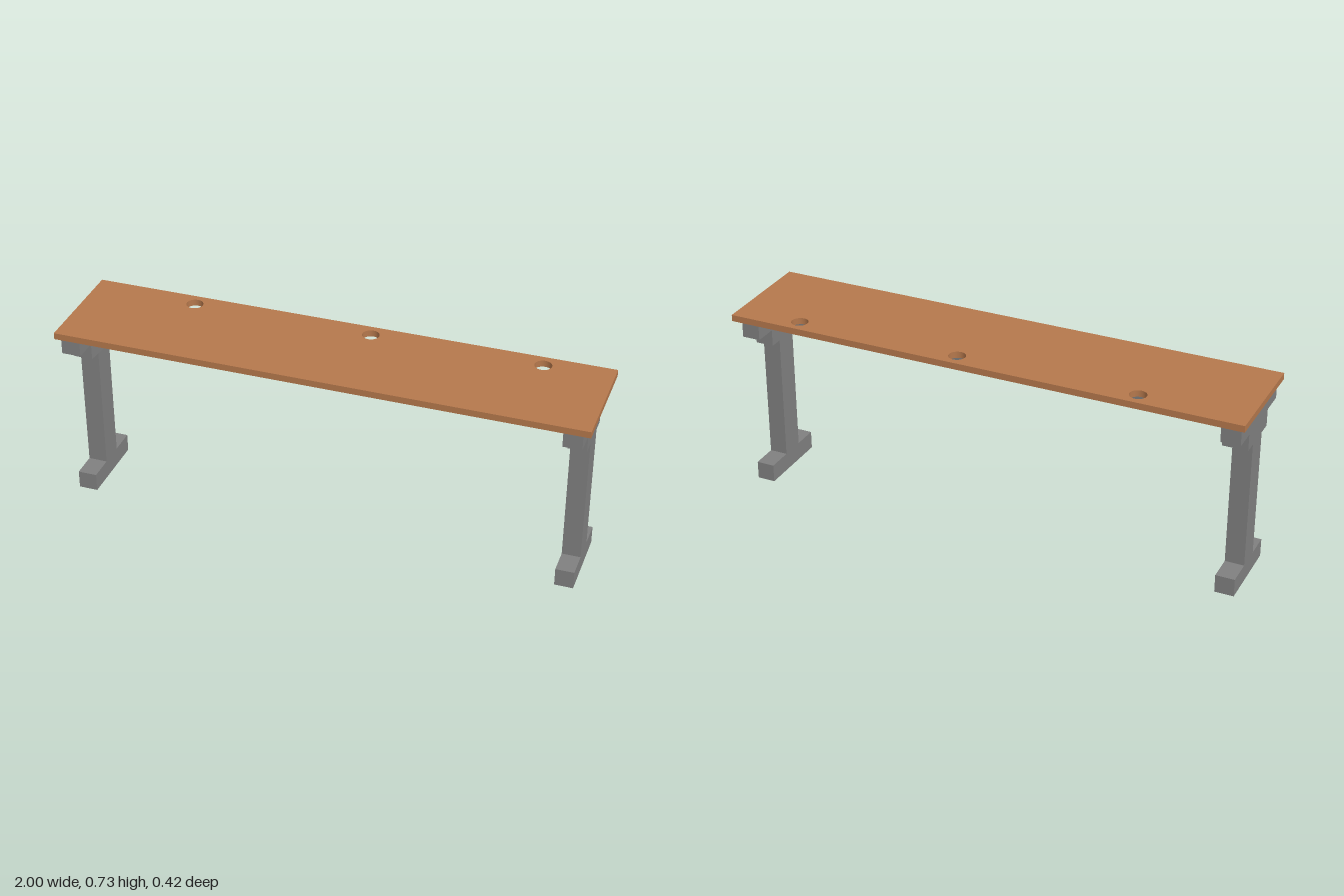
import * as THREE from 'three';

export function createModel() {
  const group = new THREE.Group();
  const wood = new THREE.MeshStandardMaterial({ color: 0xb5784c });
  wood.name = 'wood';
  const grey = new THREE.MeshStandardMaterial({ color: 0x808080 });
  grey.name = 'grey metal';

  // Box given by its min and max on each axis
  function box(parent, name, [x0, x1], [y0, y1], [z0, z1]) {
    const mesh = new THREE.Mesh(new THREE.BoxGeometry(x1 - x0, y1 - y0, z1 - z0), grey);
    mesh.position.set((x0 + x1) / 2, (y0 + y1) / 2, (z0 + z1) / 2);
    mesh.name = name;
    parent.add(mesh);
    return mesh;
  }

  // Table top with three cable holes along the back edge
  const outline = new THREE.Shape();
  outline.moveTo(-1, -0.211).lineTo(1, -0.211).lineTo(1, 0.211).lineTo(-1, 0.211).closePath();
  for (const x of [-0.595, 0.097, 0.742]) {
    outline.holes.push(new THREE.Path().absarc(x, 0.155, 0.032, 0, Math.PI * 2, true));
  }
  const top = new THREE.Mesh(
    new THREE.ExtrudeGeometry(outline, { depth: 0.025, bevelEnabled: false, curveSegments: 32 }), wood);
  top.rotation.x = -Math.PI / 2;
  top.position.y = 0.7;
  top.name = 'tableTop';
  group.add(top);

  // Two stepped T-shaped legs
  function leg(name, x) {
    const g = new THREE.Group();
    g.name = name;
    group.add(g);
    box(g, 'foot', x, [0, 0.07], [-0.151, 0.143]);
    box(g, 'post', x, [0.07, 0.632], [-0.05, 0.045]);
    box(g, 'topBracket', x, [0.632, 0.7], [-0.19, 0.191]);
    return box(g, 'lowerBracket', x, [0.567, 0.632], [-0.1, 0.099]);
  }
  leg('leftLeg', [0.9, 0.97]);
  const bracket = leg('rightLeg', [-0.983, -0.91]);

  // The right lower bracket widens inward toward its back end
  const p = bracket.geometry.attributes.position;
  for (let i = 0; i < p.count; i++) {
    if (p.getX(i) > 0 && p.getZ(i) < 0) p.setX(i, p.getX(i) + 0.022);
  }
  bracket.geometry.computeVertexNormals();

  // Rail joining the legs under the top
  box(group, 'crossBeam', [-0.91, 0.9], [0.633, 0.7], [-0.05, 0.045]);
  return group;
}
